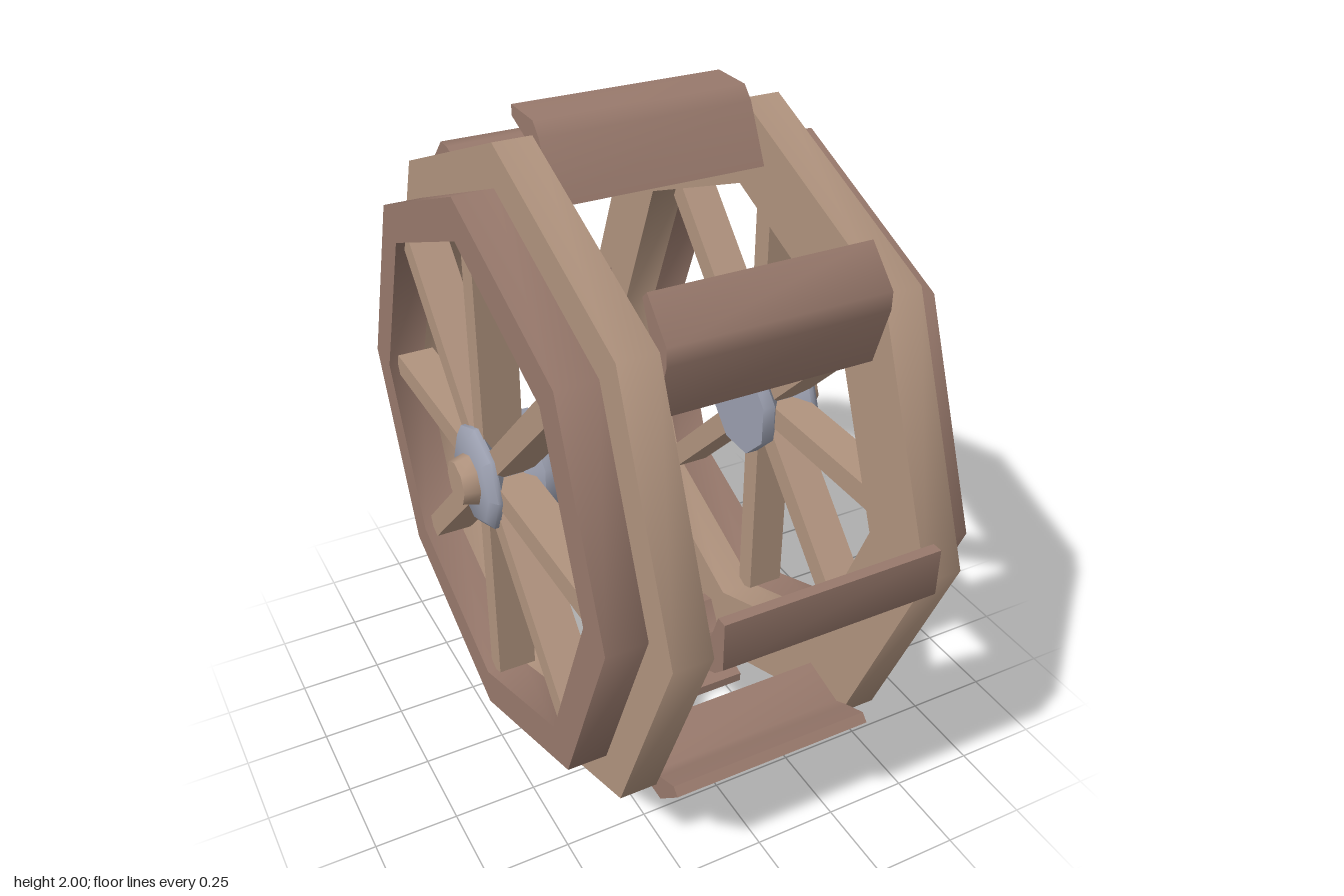
import * as THREE from 'three';
import { toCreasedNormals } from 'three/addons/utils/BufferGeometryUtils.js';

const SIDES = 8;
const STEP = (Math.PI * 2) / SIDES;
const CREASE = 0.9; // rounds the 45 degree corners, keeps square edges sharp

const material = (color) => new THREE.MeshStandardMaterial({ color, roughness: 0.9 });
const lightWood = material(0xb0937e);
const darkWood = material(0x98796c);
const metal = material(0x9a9eae);

function add(parent, name, geometry, mat) {
  const mesh = new THREE.Mesh(geometry, mat);
  mesh.name = name;
  parent.add(mesh);
  return mesh;
}

const octagon = (r) =>
  Array.from({ length: SIDES }, (_, i) => new THREE.Vector2(r * Math.cos(i * STEP), r * Math.sin(i * STEP)));

// Extrude a shape along x; shape x becomes -z, shape y stays up
function extrudeX(shape, x0, x1) {
  const geo = new THREE.ExtrudeGeometry(shape, { depth: x1 - x0, bevelEnabled: false });
  geo.rotateY(Math.PI / 2).translate(x0, 0, 0);
  return toCreasedNormals(geo, CREASE);
}

function octagonRing(outer, inner, x0, x1) {
  const shape = new THREE.Shape(octagon(outer));
  shape.holes.push(new THREE.Path(octagon(inner)));
  return extrudeX(shape, x0, x1);
}

// Turned part about the x axis from [x, radius] points
function turned(points, twist = 0) {
  const geo = new THREE.LatheGeometry(points.map(([x, r]) => new THREE.Vector2(r, x)), SIDES);
  geo.rotateY(twist).rotateZ(-Math.PI / 2);
  return toCreasedNormals(geo, CREASE);
}

// One side wheel: stepped rim, spokes, hub and axle end
function createWheel() {
  const wheel = new THREE.Group();
  add(wheel, 'innerRim', octagonRing(0.96, 0.72, 0.305, 0.415), lightWood);
  add(wheel, 'outerRim', octagonRing(0.84, 0.72, 0.415, 0.53), darkWood);

  for (let i = 0; i < SIDES; i++) {
    const geo = new THREE.BoxGeometry(0.115, 0.68, 0.07);
    geo.translate(0.445, 0.4, 0).rotateX(i * STEP);
    add(wheel, 'spoke', geo, lightWood);
  }

  add(wheel, 'hub', turned([
    [0.35, 0], [0.35, 0.1], [0.47, 0.1], [0.5, 0.155], [0.515, 0.155], [0.535, 0.13], [0.535, 0],
  ]), metal);
  add(wheel, 'hubFlange', turned([
    [0.33, 0], [0.33, 0.155], [0.37, 0.155], [0.41, 0.1], [0.41, 0],
  ], STEP / 2), metal);
  add(wheel, 'axleEnd', turned([[0.5, 0], [0.52, 0.08], [0.58, 0.065], [0.58, 0]]), lightWood);
  return wheel;
}

export function createModel() {
  const model = new THREE.Group();
  model.name = 'waterWheel';

  for (const [name, turn] of [['leftWheel', 0], ['rightWheel', Math.PI]]) {
    const wheel = createWheel();
    wheel.name = name;
    wheel.rotation.y = turn;
    wheel.position.y = 1;
    model.add(wheel);
  }

  // Bent paddles joining the two wheels: outer lip plus a web slanting inward
  const profile = new THREE.Shape([
    [0.13, 1], [-0.005, 1], [-0.04, 0.965], [-0.12, 0.81], [-0.075, 0.8],
    [0.0, 0.925], [0.05, 0.94], [0.13, 0.97],
  ].map(([t, r]) => new THREE.Vector2(t, r)));
  const paddleGeometry = extrudeX(profile, -0.305, 0.305);
  for (let i = 0; i < SIDES; i++) {
    const paddle = add(model, 'paddle', paddleGeometry, darkWood);
    paddle.rotation.x = i * STEP;
    paddle.position.y = 1;
  }
  return model;
}
